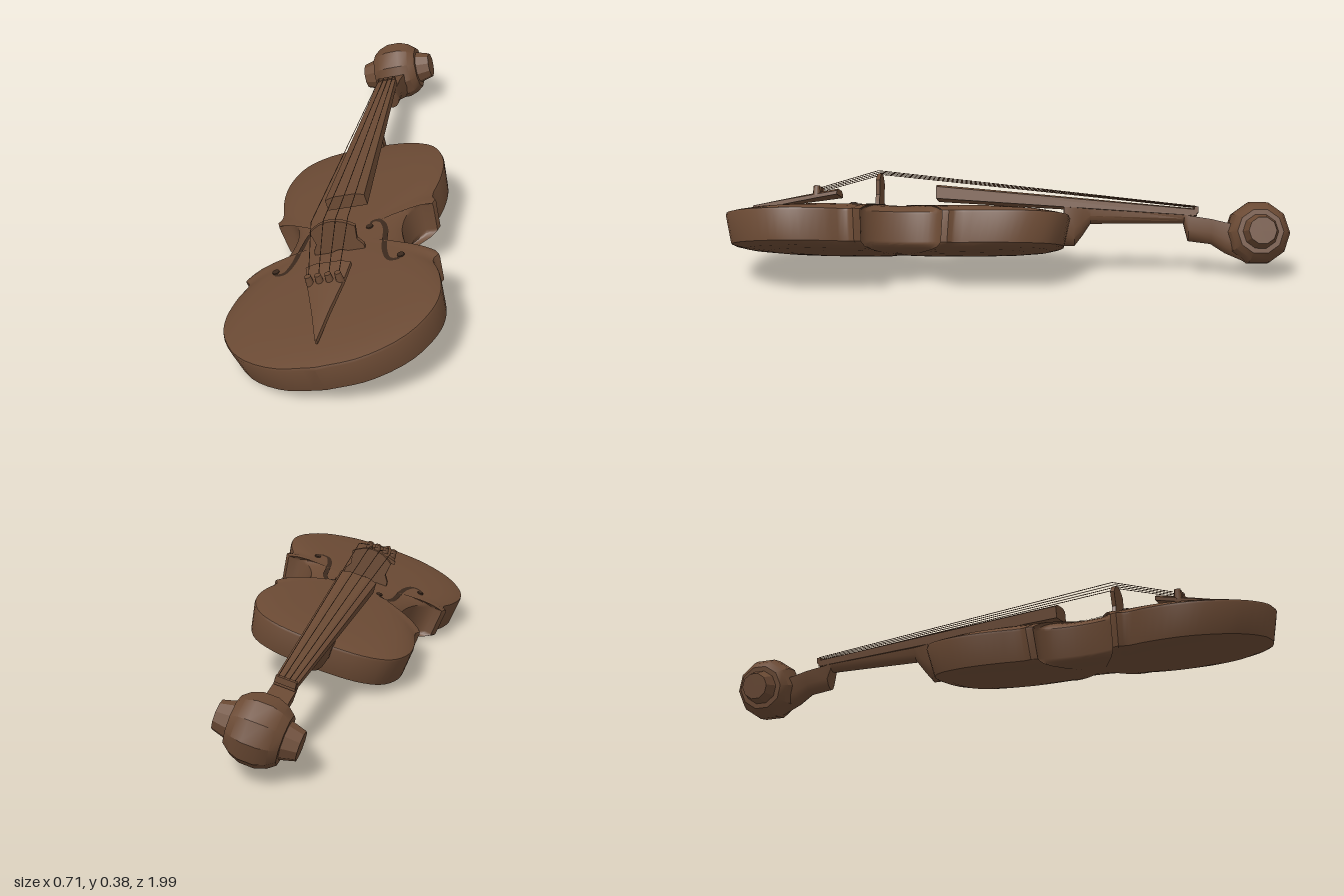
import * as THREE from 'three';
import { toCreasedNormals } from 'three/addons/utils/BufferGeometryUtils.js';

const V3 = (x, y, z) => new THREE.Vector3(x, y, z);

// Skin a stack of equal-length loops and close both ends
function loft(loops, crease = 0.6) {
  const n = loops[0].length, pos = [], idx = [];
  loops.forEach(l => l.forEach(p => pos.push(p.x, p.y, p.z)));
  for (let i = 0; i < loops.length - 1; i++) {
    for (let j = 0; j < n; j++) {
      const a = i * n + j, b = i * n + (j + 1) % n;
      idx.push(a, b, b + n, a, b + n, a + n);
    }
  }
  [0, loops.length - 1].forEach((li, end) => {
    const c = V3(0, 0, 0);
    loops[li].forEach(p => c.add(p));
    c.divideScalar(n);
    const k = pos.length / 3;
    pos.push(c.x, c.y, c.z);
    for (let j = 0; j < n; j++) {
      const a = li * n + j, b = li * n + (j + 1) % n;
      if (end) idx.push(a, b, k); else idx.push(b, a, k);
    }
  });
  const g = new THREE.BufferGeometry();
  g.setAttribute('position', new THREE.Float32BufferAttribute(pos, 3));
  g.setIndex(idx);
  return toCreasedNormals(g, crease);
}

// Half outline as three smooth runs that meet at sharp corners (x, z)
const runs = [
  [[0, .995], [.14, .975], [.27, .9], [.343, .79], [.36, .7], [.342, .6], [.317, .535], [.333, .508]],
  [[.318, .485], [.27, .487], [.225, .45], [.196, .38], [.187, .31], [.2, .245], [.232, .212], [.278, .213]],
  [[.286, .19], [.274, .165], [.289, .08], [.295, 0], [.283, -.08], [.24, -.16], [.16, -.205], [.06, -.221], [0, -.222]],
];
const half = runs.flatMap(r =>
  new THREE.CatmullRomCurve3(r.map(([x, z]) => V3(x, 0, z))).getPoints(24));
const outline = [...half, ...half.slice(1, -1).reverse().map(p => V3(-p.x, 0, p.z))];
const ZC = 0.38;
// Arch of the plates: [inset scale, height]
const belly = [[1, .045], [.995, .053], [.96, .058], [.88, .067], [.75, .075], [.55, .081], [.3, .084], [.05, .085]];
const back = [[.05, -.085], [.3, -.084], [.55, -.081], [.75, -.076], [.88, -.069], [.945, -.06], [.965, -.055], [.968, -.048]];
const ring = ([s, y]) => outline.map(p => V3(p.x * s, y, ZC + (p.z - ZC) * s));

// Height of the belly at a point
function bellyY(x, z) {
  const a = Math.atan2(Math.abs(x), z - ZC);
  let best = 9, r = 1;
  for (const p of half) {
    const d = Math.abs(Math.atan2(p.x, p.z - ZC) - a);
    if (d < best) { best = d; r = Math.hypot(p.x, p.z - ZC); }
  }
  const s = Math.hypot(x, z - ZC) / r;
  for (let i = 1; i < belly.length; i++) {
    const [s0, y0] = belly[i - 1], [s1, y1] = belly[i];
    if (s >= s1) return y0 + (y1 - y0) * (s0 - s) / (s0 - s1);
  }
  return 0.085;
}

// Cross-sections at a given z: domed top or rounded underside
const domed = ([z, w, t, b]) => [
  [-w, t - w * .16], [-w * .55, t - w * .03], [w * .55, t - w * .03], [w, t - w * .16], [w, b], [-w, b],
].map(([x, y]) => V3(x, y, z));
const rounded = ([z, w, t, b]) => {
  const pts = [V3(-w, t, z), V3(w, t, z)];
  for (let i = 1; i < 8; i++) {
    const a = i / 8 * Math.PI;
    pts.push(V3(w * Math.cos(a), t - (t - b) * Math.pow(Math.sin(a), .6), z));
  }
  return pts;
};

export function createModel() {
  const wood = new THREE.MeshStandardMaterial({ color: 0x6b4a34 });
  wood.name = 'brown wood';
  const dark = new THREE.MeshStandardMaterial({ color: 0x3b291d, side: THREE.DoubleSide });
  dark.name = 'dark opening';

  const violin = new THREE.Group();
  violin.name = 'violin';
  const add = (name, geo, mat = wood) => {
    const m = new THREE.Mesh(geo, mat);
    m.name = name;
    violin.add(m);
    return m;
  };

  // Sound box with arched back and belly
  add('body', loft([...back, ...belly].map(ring)));

  // Neck with heel, fingerboard and pegbox
  add('neck', loft([[-.2, .05, .095, -.05], [-.238, .05, .092, -.05], [-.265, .043, .09, -.015],
    [-.295, .036, .088, .03], [-.62, .033, .068, .033], [-.66, .033, .062, .033]].map(rounded)));
  add('fingerboard', loft([[.25, .07, .165, .112], [-.67, .036, .085, .058]].map(domed), 0.2));
  add('nut', new THREE.BoxGeometry(.07, .022, .014)).position.set(0, .079, -.668);
  add('pegbox', loft([[-.625, .033, .064, .03], [-.64, .038, .058, -.03], [-.72, .038, .046, -.04],
    [-.77, .04, .034, -.072], [-.84, .045, .02, -.102]].map(rounded)));

  // Scroll: a faceted barrel with an ear on each side
  const prof = [[0, -.135], [.048, -.135], [.062, -.085], [.08, -.085], [.1, -.06], [.113, -.025]];
  const full = [...prof, ...prof.slice().reverse().map(([r, y]) => [r, -y])];
  const scroll = add('scroll', toCreasedNormals(
    new THREE.LatheGeometry(full.map(([r, y]) => new THREE.Vector2(r, y)), 10), 0.5));
  scroll.rotation.z = Math.PI / 2;
  scroll.position.set(0, 0, -.885);

  // Bridge with flared feet
  const s = new THREE.Shape();
  s.moveTo(-.086, .07);
  s.lineTo(-.086, .1);
  s.lineTo(-.07, .125);
  s.lineTo(-.078, .175);
  s.quadraticCurveTo(0, .238, .078, .175);
  s.lineTo(.07, .125);
  s.lineTo(.086, .1);
  s.lineTo(.086, .07);
  s.lineTo(.045, .07);
  s.quadraticCurveTo(0, .115, -.045, .07);
  const bridge = new THREE.ExtrudeGeometry(s, { depth: .014, bevelEnabled: false, curveSegments: 8 });
  add('bridge', bridge).position.z = .448;

  // Tailpiece and its fine tuners
  add('tailpiece', loft([[.91, .003, .09, .075], [.8, .028, .112, .092], [.68, .06, .135, .112],
    [.6, .076, .15, .125]].map(domed), 0.3));

  // Strings, each bent over the bridge
  const rod = (name, a, b, r) => {
    const m = add(name, new THREE.CylinderGeometry(r, r, a.distanceTo(b), 5));
    m.position.lerpVectors(a, b, .5);
    m.quaternion.setFromUnitVectors(V3(0, 1, 0), b.clone().sub(a).normalize());
  };
  [-1.5, -.5, .5, 1.5].forEach(k => {
    const top = V3(k * .042, .21, .455);
    rod('stringLong', V3(k * .018, .092, -.668), top, .0014);
    rod('stringShort', top, V3(k * .034, .15, .66), .0014);
    add('fineTuner', new THREE.CylinderGeometry(.011, .014, .035, 8)).position.set(k * .033, .14, .675);
  });

  // Curved sound holes lying on the belly
  const path = new THREE.CatmullRomCurve3([[.08, .343], [.092, .314], [.118, .314], [.137, .35], [.147, .425],
    [.158, .495], [.18, .54], [.208, .54], [.217, .512]].map(([x, z]) => V3(x, 0, z)));
  const N = 40;
  [-1, 1].forEach(side => {
    const geo = new THREE.PlaneGeometry(1, 1, 1, N), p = geo.attributes.position;
    for (let i = 0; i <= N; i++) {
      const c = path.getPoint(i / N), t = path.getTangent(i / N);
      const w = .003 + .006 * Math.sin(i / N * Math.PI);
      [-1, 1].forEach((e, k) => {
        const x = c.x + e * w * t.z, z = c.z - e * w * t.x;
        p.setXYZ(i * 2 + k, side * x, bellyY(x, z) + .002, z);
      });
    }
    geo.computeVertexNormals();
    add('soundHole', geo, dark);
    [[.083, .34], [.214, .52]].forEach(([x, z]) => {
      const eye = add('soundHoleEye', new THREE.CylinderGeometry(.012, .012, .006, 14), dark);
      eye.position.set(side * x, bellyY(x, z) + .001, z);
    });
  });

  // Resting pose: rolled onto one side with a slight turn
  violin.rotation.set(0, -.0185, .286, 'YXZ');
  violin.position.set(.015, .155, 0);
  const model = new THREE.Group();
  model.name = 'model';
  model.add(violin);
  return model;
}
